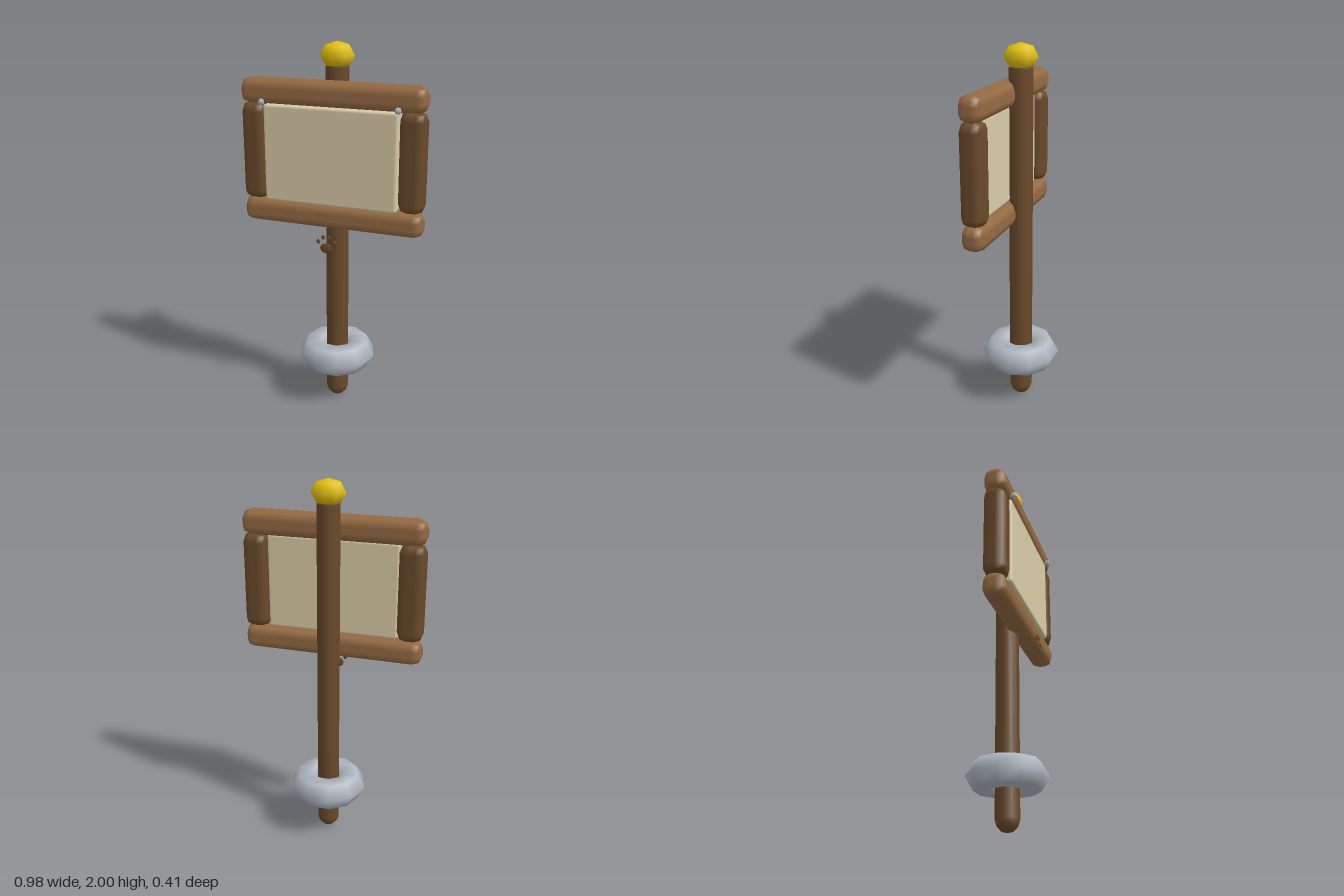
import * as THREE from 'three';
import { RoundedBoxGeometry } from 'three/addons/geometries/RoundedBoxGeometry.js';

const paint = (name, color) => {
  const m = new THREE.MeshStandardMaterial({ color });
  m.name = name;
  return m;
};

export function createModel() {
  const model = new THREE.Group();
  model.name = 'signpost';
  const darkWood = paint('dark wood', 0x6b4a2b);
  const lightWood = paint('light wood', 0x956a42);
  const cream = paint('cream', 0xdacda8);
  const stone = paint('stone grey', 0xb0b8c2);
  const gold = paint('gold', 0xe2c010);

  const add = (name, geometry, material, x = 0, y = 0, z = 0, parent = model) => {
    const mesh = new THREE.Mesh(geometry, material);
    mesh.name = name;
    mesh.position.set(x, y, z);
    parent.add(mesh);
    return mesh;
  };

  // One-step rounded box; its faces sit at 0.905 of the radius, so grow it to keep the outer size
  const block = (w, h, d, r) => {
    const grow = 2 * r * (1 - 0.9045);
    return new RoundedBoxGeometry(w + grow, h + grow, d + grow, 1, r);
  };

  // Post with rounded ends
  const R = 0.0625;
  const profile = [[0, 0.004], [0.033, 0.014], [0.052, 0.035], [R, 0.067],
    [R, 1.872], [0.052, 1.9], [0, 1.93]].map(([x, y]) => new THREE.Vector2(x, y));
  const post = add('post', new THREE.LatheGeometry(profile, 10), darkWood);
  post.rotation.y = Math.PI / 2;

  // Finial ball on top
  add('finial', new THREE.SphereGeometry(0.092, 8, 4), gold, 0, 1.932).scale.y = 0.74;

  // Stone ring around the foot
  const ring = add('footRing', new THREE.TorusGeometry(0.129, 0.084, 6, 10), stone, 0, 0.283);
  ring.rotation.x = -Math.PI / 2;

  // Frame: two long beams and two uprights
  for (const [name, y] of [['topBeam', 1.748], ['bottomBeam', 1.117]])
    add(name, block(0.974, 0.125, 0.116, 0.05), lightWood, 0, y, 0.072);
  for (const [name, s] of [['leftUpright', 1], ['rightUpright', -1]])
    add(name, block(0.129, 0.51, 0.116, 0.05), darkWood, s * 0.4225, 1.434, 0.072);

  // Board held by the frame
  add('noticeBoard', block(0.712, 0.505, 0.078, 0.015), cream, 0, 1.434, 0.093);

  // Pins at the upper corners
  for (const [name, s] of [['leftPin', 1], ['rightPin', -1]])
    add(name, new THREE.SphereGeometry(0.018, 4, 4), stone, s * 0.358, 1.7, 0.143);

  // Paw mark in front of the post
  const paw = new THREE.Group();
  paw.name = 'pawMark';
  paw.position.set(0, 0.966, 0.171);
  model.add(paw);
  add('pawPad', new THREE.SphereGeometry(1, 10, 6), darkWood, 0, 0, 0, paw).scale.set(0.034, 0.028, 0.007);
  for (const s of [1, -1])
    for (const [x, y] of [[0.043, 0.034], [0.016, 0.059]])
      add('pawToe', new THREE.SphereGeometry(1, 8, 5), darkWood, s * x, y, 0, paw).scale.set(0.011, 0.013, 0.005);

  return model;
}
